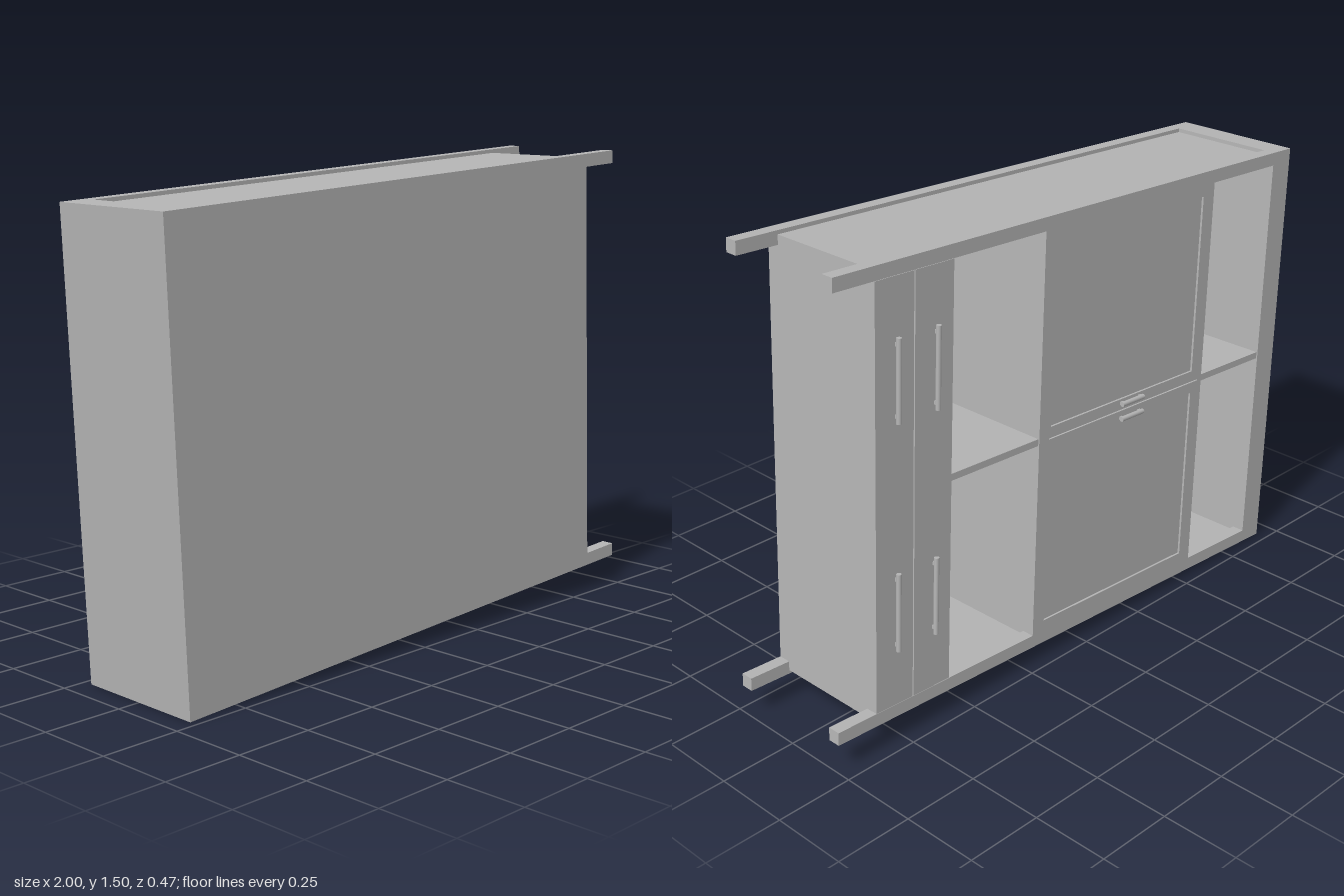
import * as THREE from 'three';

export function createModel() {
  const model = new THREE.Group();
  model.name = 'cabinetOnItsSide';
  const grey = new THREE.MeshStandardMaterial({ color: 0xb4b4b4 });
  grey.name = 'plainGrey';

  // Cabinet frame: x runs from cabinet top to feet, y across its width, z from doors (-) to back (+).
  const cabinet = new THREE.Group();
  cabinet.name = 'cabinet';
  cabinet.position.set(-0.931, 0.0015, 0);
  cabinet.rotation.set(0.007, 0, 0.049);
  model.add(cabinet);

  const LENGTH = 1.932, BODY = 1.789, WIDTH = 1.4, POST = 0.042, TOP = 0.085;
  const FRONT = -0.213, BACK = 0.225, INNER = 0.22;

  function add(name, geometry, parent = cabinet) {
    const mesh = new THREE.Mesh(geometry, grey);
    mesh.name = name;
    parent.add(mesh);
    return mesh;
  }
  function box(name, x0, x1, y0, y1, z0, z1) {
    const mesh = add(name, new THREE.BoxGeometry(x1 - x0, y1 - y0, z1 - z0));
    mesh.position.set((x0 + x1) / 2, (y0 + y1) / 2, (z0 + z1) / 2);
    return mesh;
  }

  // Top slab and back panel
  box('cabinetTop', 0, TOP, 0, WIDTH, FRONT, INNER);
  box('backPanel', 0, BODY, 0, WIDTH, INNER, BACK);

  // Corner posts ending in feet, with recessed side panels between them
  for (const side of [0, 1]) {
    const y0 = side ? WIDTH - POST : 0;
    box('frontPost', TOP, LENGTH, y0, y0 + POST, FRONT, FRONT + 0.041);
    box('backPost', TOP, BODY, y0, y0 + POST, 0.184, INNER);
    box('backFoot', BODY, LENGTH, y0, y0 + POST, 0.184, BACK);
    const p0 = side ? WIDTH - 0.03 : 0.012;
    box('sidePanel', TOP, BODY, p0, p0 + 0.018, FRONT + 0.041, 0.184);
  }

  // Boards across the width, and the floor behind the drawers
  const across = (name, x0, x1, z0 = FRONT) => {
    box(name, x0, x1, POST, WIDTH - POST, z0, INNER);
    for (const y of [0.03, WIDTH - POST])
      box(name + 'Tongue', x0, x1, y, y + 0.012, FRONT + 0.041, 0.184);
  };
  across('upperDivider', 0.385, 0.405);
  across('lowerDivider', 1.1, 1.143);
  across('drawerCover', 1.503, 1.521, FRONT + 0.018);
  across('floor', BODY - 0.02, BODY, FRONT + 0.018);

  // Middle partitions in the two open compartments
  box('upperPartition', TOP, 0.385, 0.69, 0.712, FRONT + 0.004, INNER);
  box('lowerPartition', 1.143, 1.503, 0.69, 0.712, FRONT + 0.004, INNER);

  // Bar handle on two short mounts, built along y
  function handle(name, x, y, length, along) {
    const g = new THREE.Group();
    g.name = name;
    g.position.set(x, y, FRONT);
    if (along) g.rotation.z = Math.PI / 2;
    cabinet.add(g);
    add('handleBar', new THREE.CylinderGeometry(0.008, 0.008, length, 12), g).position.z = -0.011;
    for (const s of [-1, 1])
      add('handleMount', new THREE.BoxGeometry(0.01, 0.012, 0.014), g).position.set(0, s * length * 0.42, -0.005);
  }

  // Two full-width drawers with paired handles
  [[1.503, 1.645], [1.649, BODY]].forEach(([x0, x1]) => {
    box('drawerFront', x0, x1, POST + 0.001, WIDTH - POST - 0.001, FRONT, FRONT + 0.018);
    for (const y of [0.35, 1.06]) handle('drawerHandle', (x0 + x1) / 2 - 0.006, y, 0.25, false);
  });

  // Two framed doors with slightly recessed panels
  const rect = (C, x0, x1, y0, y1) => {
    const s = new C();
    s.moveTo(x0, y0).lineTo(x1, y0).lineTo(x1, y1).lineTo(x0, y1).closePath();
    return s;
  };
  [[POST, 0.699], [0.703, WIDTH - POST]].forEach(([y0, y1], i) => {
    const frame = rect(THREE.Shape, 0.405, 1.1, y0, y1);
    const p = [0.435, 1.095, y0 + 0.036, y1 - 0.036];
    frame.holes.push(rect(THREE.Path, ...p));
    add('doorFrame', new THREE.ExtrudeGeometry(frame, { depth: 0.018, bevelEnabled: false })).position.z = FRONT;
    box('doorPanel', ...p, FRONT + 0.007, FRONT + 0.016);
    handle('doorHandle', 0.735, i ? 0.726 : 0.676, 0.1, true);
  });

  return model;
}
